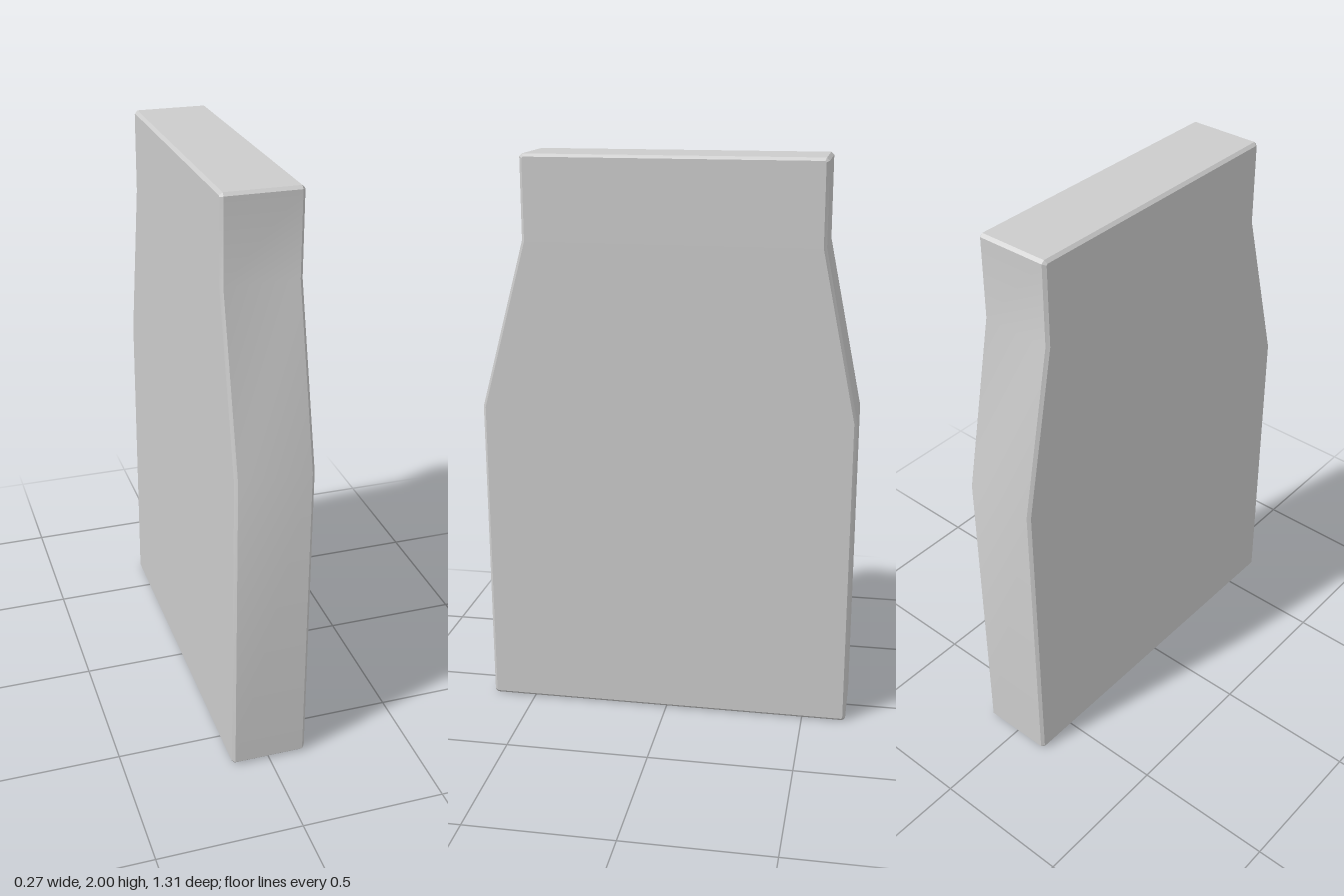
import * as THREE from 'three';
import { toCreasedNormals } from 'three/addons/utils/BufferGeometryUtils.js';

export function createModel() {
  const group = new THREE.Group();
  const width = 0.266, bevel = 0.01, c = 0.01;

  // Side profile (z, y): straight body, tapered shoulders, narrow neck, clipped end corners
  const profile = [
    [-0.657 + c, 0], [0.657 - c, 0], [0.657, c],
    [0.657, 1.12], [0.497, 1.71],
    [0.497, 2 - c], [0.497 - c, 2], [-0.535 + c, 2], [-0.535, 2 - c],
    [-0.535, 1.71], [-0.657, 1.12], [-0.657, c],
  ].map(([z, y]) => new THREE.Vector2(z, y));

  // Slab with a fine chamfer round both broad faces
  const slab = new THREE.ExtrudeGeometry(new THREE.Shape(profile), {
    depth: width - 2 * bevel,
    bevelEnabled: true,
    bevelThickness: bevel,
    bevelSize: bevel,
    bevelOffset: -bevel,
    bevelSegments: 1,
  });
  slab.translate(0, 0, bevel - width / 2);
  slab.rotateY(-Math.PI / 2);

  const body = new THREE.Mesh(
    toCreasedNormals(slab, THREE.MathUtils.degToRad(25)),
    new THREE.MeshStandardMaterial({ color: 0xcccccc })
  );
  body.name = 'shoulderedSlab';
  group.add(body);
  return group;
}
